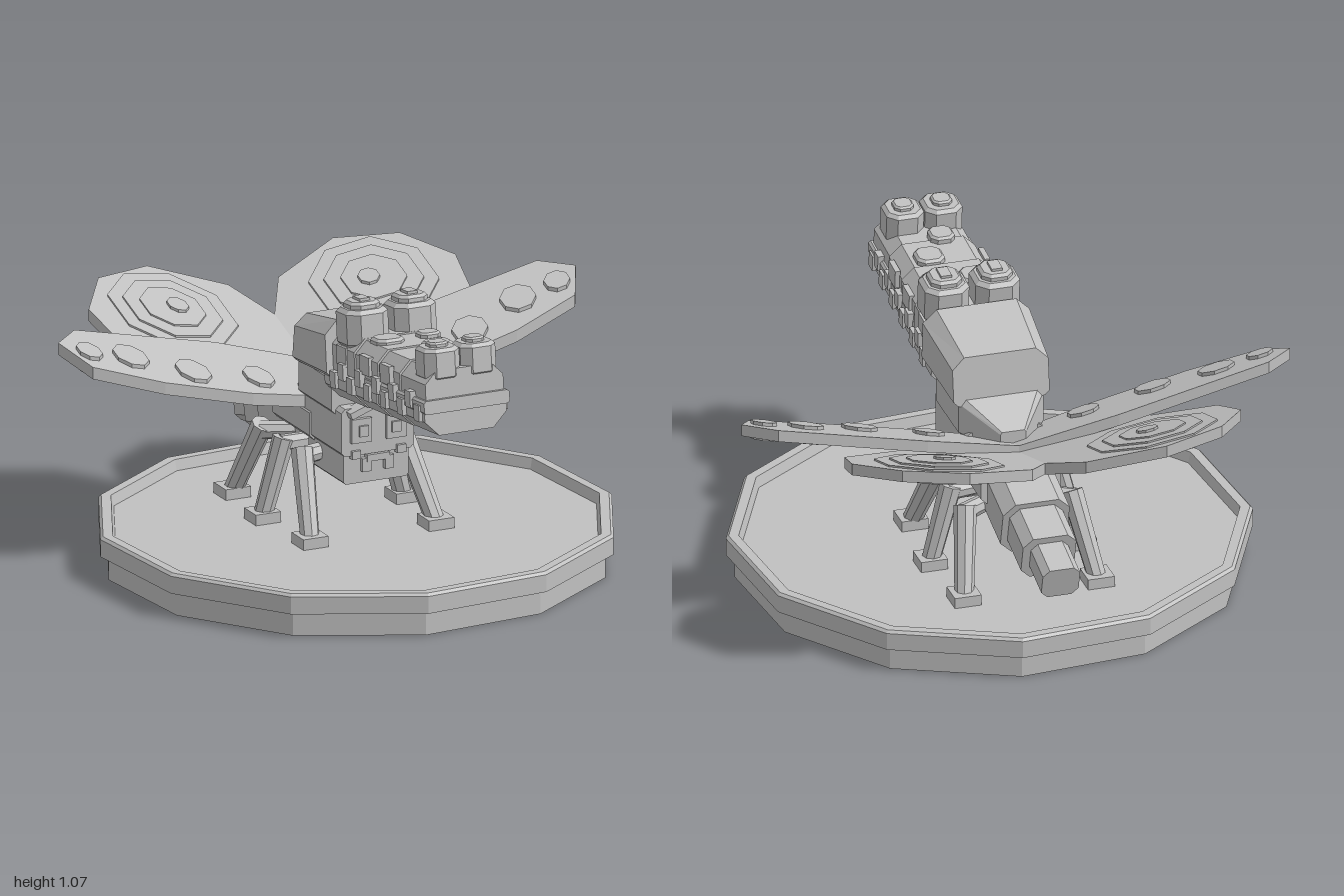
import * as THREE from 'three';

const grey = new THREE.MeshStandardMaterial({ color: 0xc0c0c0 });
grey.name = 'stone grey';

export function createModel() {
  const model = new THREE.Group();
  model.name = 'figurine';

  // Faceted mesh from any geometry
  const add = (parent, name, geo) => {
    const g = geo.index ? geo.toNonIndexed() : geo;
    g.computeVertexNormals();
    const mesh = new THREE.Mesh(g, grey);
    mesh.name = name;
    parent.add(mesh);
  };
  const group = (parent, name) => {
    const g = new THREE.Group();
    g.name = name;
    parent.add(g);
    return g;
  };
  const polygon = pts => new THREE.Shape(pts.map(p => new THREE.Vector2(p[0], p[1])));

  // Bar along z with a chamfered section: half width w, heights y0..y1, chamfers ct (top) and cb (bottom)
  const bar = (w, y0, y1, z0, z1, ct = 0.02, cb = 0.02) => {
    const s = polygon([[-w + cb, y0], [w - cb, y0], [w, y0 + cb], [w, y1 - ct],
      [w - ct, y1], [-w + ct, y1], [-w, y1 - ct], [-w, y0 + cb]]);
    return new THREE.ExtrudeGeometry(s, { depth: z1 - z0, bevelEnabled: false }).translate(0, 0, z0);
  };
  // Move the vertices behind a given z
  const reshapeBack = (geo, limit, move) => {
    const p = geo.attributes.position;
    for (let i = 0; i < p.count; i++)
      if (p.getZ(i) < limit) p.setXYZ(i, ...move(p.getX(i), p.getY(i), p.getZ(i)));
    return geo;
  };
  const box = (w, h, d, x, y, z) => new THREE.BoxGeometry(w, h, d).translate(x, y, z);
  // Upright square knob with cut corners and a bevelled top
  const knob = (r, y0, y1, x, z) => {
    const b = r * 0.18, q = r - b, c = q * 0.55;
    const s = polygon([[-c, -q], [c, -q], [q, -c], [q, c], [c, q], [-c, q], [-q, c], [-q, -c]]);
    return new THREE.ExtrudeGeometry(s, { depth: y1 - y0 - b, bevelSize: b, bevelThickness: b, bevelSegments: 1 })
      .rotateX(-Math.PI / 2).translate(x, y0, z);
  };
  const octagon = (r, h, x, y, z) =>
    new THREE.CylinderGeometry(r, r, h, 8).rotateY(Math.PI / 8).translate(x, y, z);
  // Straight limb between two points
  const limb = (a, b, r0, r1) => {
    const A = new THREE.Vector3(...a), d = new THREE.Vector3(...b).sub(A);
    const q = new THREE.Quaternion().setFromUnitVectors(new THREE.Vector3(0, 1, 0), d.clone().normalize());
    return new THREE.CylinderGeometry(r1, r0, d.length(), 8).rotateY(Math.PI / 8)
      .applyQuaternion(q).translate(...A.addScaledVector(d, 0.5).toArray());
  };

  // Twelve-sided base with a raised rim
  const profile = [[0, 0], [0.89, 0], [0.89, 0.09], [0.92, 0.09], [0.92, 0.155], [0.91, 0.165],
    [0.875, 0.165], [0.865, 0.125], [0, 0.125]]
    .map(([r, y]) => new THREE.Vector2(r / Math.cos(Math.PI / 12), y));
  add(model, 'base', new THREE.LatheGeometry(profile, 12, Math.PI / 12).translate(0.07, 0, 0.07));

  // Everything on the base is turned towards the left
  const bug = group(model, 'creature');
  bug.position.set(0.04, 0, 0);
  bug.rotation.y = THREE.MathUtils.degToRad(25);

  // Thorax; the upper block tapers and slopes down at the back
  add(bug, 'upperThorax', reshapeBack(bar(0.16, 0.6, 0.75, -0.22, -0.07, 0.02, 0.015), -0.2,
    (x, y, z) => [x * 0.3, 0.6 + (y - 0.6) * 0.45, z]));
  add(bug, 'upperThorax', bar(0.16, 0.6, 0.75, -0.07, 0.2, 0.02, 0.015));
  add(bug, 'rearThorax', bar(0.15, 0.44, 0.57, -0.31, 0, 0.025));
  add(bug, 'thoraxBelly', bar(0.11, 0.37, 0.46, -0.28, 0, 0.01, 0.03));

  // Small lower face on the front of the thorax
  const face = group(bug, 'lowerFace');
  add(face, 'faceBlock', bar(0.145, 0.45, 0.63, -0.12, 0.25, 0.015, 0.015));
  add(face, 'chinBlock', bar(0.13, 0.34, 0.46, -0.05, 0.235, 0.01, 0.01));
  for (const s of [-1, 1]) {
    add(face, 'eyeSocket', box(0.08, 0.09, 0.02, s * 0.07, 0.545, 0.255));
    add(face, 'pupil', box(0.035, 0.04, 0.03, s * 0.065, 0.545, 0.26));
    add(face, 'brow', new THREE.BoxGeometry(0.12, 0.025, 0.06).rotateZ(-s * 0.35).translate(s * 0.065, 0.63, 0.255));
    add(face, 'mandible', box(0.035, 0.05, 0.03, s * 0.045, 0.41, 0.24));
    add(face, 'cheek', box(0.035, 0.03, 0.025, s * 0.09, 0.455, 0.25));
  }
  add(face, 'mouth', box(0.09, 0.025, 0.025, 0, 0.435, 0.245));

  // Tail, three shrinking segments sloping down
  const tail = group(bug, 'tail');
  tail.position.set(0, 0.475, -0.27);
  tail.rotation.x = -0.26;
  [[0.125, -0.22, 0], [0.1, -0.39, -0.2], [0.07, -0.54, -0.37]].forEach(([r, z0, z1]) =>
    add(tail, 'tailSegment', bar(r, -r * 0.9, r * 0.85, z0, z1, r * 0.35, r * 0.35)));

  // Six legs: hip, shin and foot; front pair reaches forward, back pair backward
  for (const s of [-1, 1])
    for (const [hipZ, kneeZ, footZ, footX] of [[0.02, 0.05, 0.21, 0.25], [-0.1, -0.11, -0.12, 0.28], [-0.22, -0.29, -0.43, 0.25]]) {
      const leg = group(bug, 'leg');
      add(leg, 'hip', limb([s * 0.08, 0.41, hipZ], [s * 0.21, 0.405, kneeZ], 0.032, 0.035));
      add(leg, 'shin', limb([s * 0.2, 0.43, kneeZ - (footZ - kneeZ) * 0.06], [s * footX, 0.14, footZ], 0.042, 0.035));
      add(leg, 'foot', box(0.1, 0.04, 0.1, s * footX, 0.145, footZ));
    }

  // Wings: flat outlines sheared so tips and rear edges rise
  const wing = (name, s, outline, y0, a, p, plates) => {
    const thick = 0.045;
    const shear = new THREE.Matrix4().set(1, 0, 0, 0, s * a, 1, -p, y0, 0, 0, 1, 0, 0, 0, 0, 1);
    const g = group(bug, name);
    add(g, 'membrane', new THREE.ExtrudeGeometry(polygon(outline.map(([x, z]) => [s * x, -z])),
      { depth: thick, bevelEnabled: false }).rotateX(-Math.PI / 2).applyMatrix4(shear));
    for (const [x, z, r, h] of plates)
      add(g, 'wingSpot', octagon(r, thick + 2 * h, s * x, thick / 2, z).applyMatrix4(shear));
  };
  for (const s of [-1, 1]) {
    wing('foreWing', s, [[0, -0.29], [0.36, -0.345], [0.7, -0.345], [0.92, -0.345], [1.03, -0.25],
      [0.96, -0.11], [0.7, -0.05], [0.36, -0.03], [0.12, -0.05], [0, -0.1]], 0.505, 0.225, 0.32,
    [[0.93, -0.2, 0.048, 0.014], [0.77, -0.19, 0.066, 0.014], [0.55, -0.13, 0.066, 0.014], [0.29, -0.13, 0.058, 0.014]]);
    wing('hindWing', s, [[0, -0.15], [0, -0.6], [0.1, -0.775], [0.37, -0.885], [0.6, -0.81],
      [0.73, -0.62], [0.7, -0.43], [0.4, -0.22]], 0.475, 0.15, 0.335,
    [[0.4, -0.61, 0.235, 0.007], [0.4, -0.61, 0.18, 0.014], [0.4, -0.61, 0.12, 0.02], [0.38, -0.61, 0.04, 0.03]]);
  }

  // Large long-snouted head, tilted slightly upward
  const head = group(bug, 'head');
  head.rotation.x = -0.1;
  head.position.z = 0.08;

  // Skull with a lower, narrower back
  add(head, 'skull', reshapeBack(bar(0.2, 0.735, 0.945, -0.09, 0.24, 0.05, 0.02), 0,
    (x, y, z) => [x * 0.9, 0.735 + (y - 0.735) * 0.85, z + (y - 0.735) * 0.2]));

  // Snout in overlapping segments: upper jaw, lip and lower jaw
  [[0.18, 0.42], [0.41, 0.6], [0.59, 0.77], [0.76, 0.97]].forEach(([z0, z1], i) => {
    const w = 0.185 - 0.006 * i;
    add(head, 'upperJaw', bar(w - 0.012, 0.76, 0.905 - 0.006 * i, z0, z1, 0.045, 0.005));
    add(head, 'lowerJaw', bar(w - 0.004, 0.65, 0.75, z0, z1, 0.005, 0.055));
  });
  add(head, 'lip', bar(0.17, 0.735, 0.785, 0.2, 0.985, 0.008, 0.008));

  // Teeth and side plates along both jaws
  for (const s of [-1, 1]) {
    for (let i = 0; i < 11; i++)
      add(head, 'tooth', box(0.03, 0.06, 0.045, s * (0.178 - i * 0.0016), i % 2 ? 0.775 : 0.735, 0.27 + i * 0.066));
    for (const z of [0.32, 0.51, 0.68])
      add(head, 'cheekPlate', box(0.02, 0.07, 0.08, s * 0.168, 0.83, z));

    // Eye and nostril bumps
    add(head, 'eye', knob(0.083, 0.88, 1.005, s * 0.095, 0.335));
    add(head, 'eyeRim', knob(0.058, 0.99, 1.03, s * 0.095, 0.335));
    add(head, 'eyeSlit', box(0.04, 0.02, 0.06, s * 0.095, 1.03, 0.335));
    add(head, 'nostril', knob(0.07, 0.86, 0.965, s * 0.072, 0.905));
    add(head, 'nostrilCap', knob(0.036, 0.95, 0.982, s * 0.072, 0.905));
  }

  // Scales on top of the snout
  for (const [x, z, r] of [[-0.07, 0.485, 0.055], [0.09, 0.49, 0.04], [0.05, 0.65, 0.052], [-0.035, 0.78, 0.045]])
    add(head, 'snoutScale', knob(r, 0.88, 0.918, x, z));

  return model;
}
